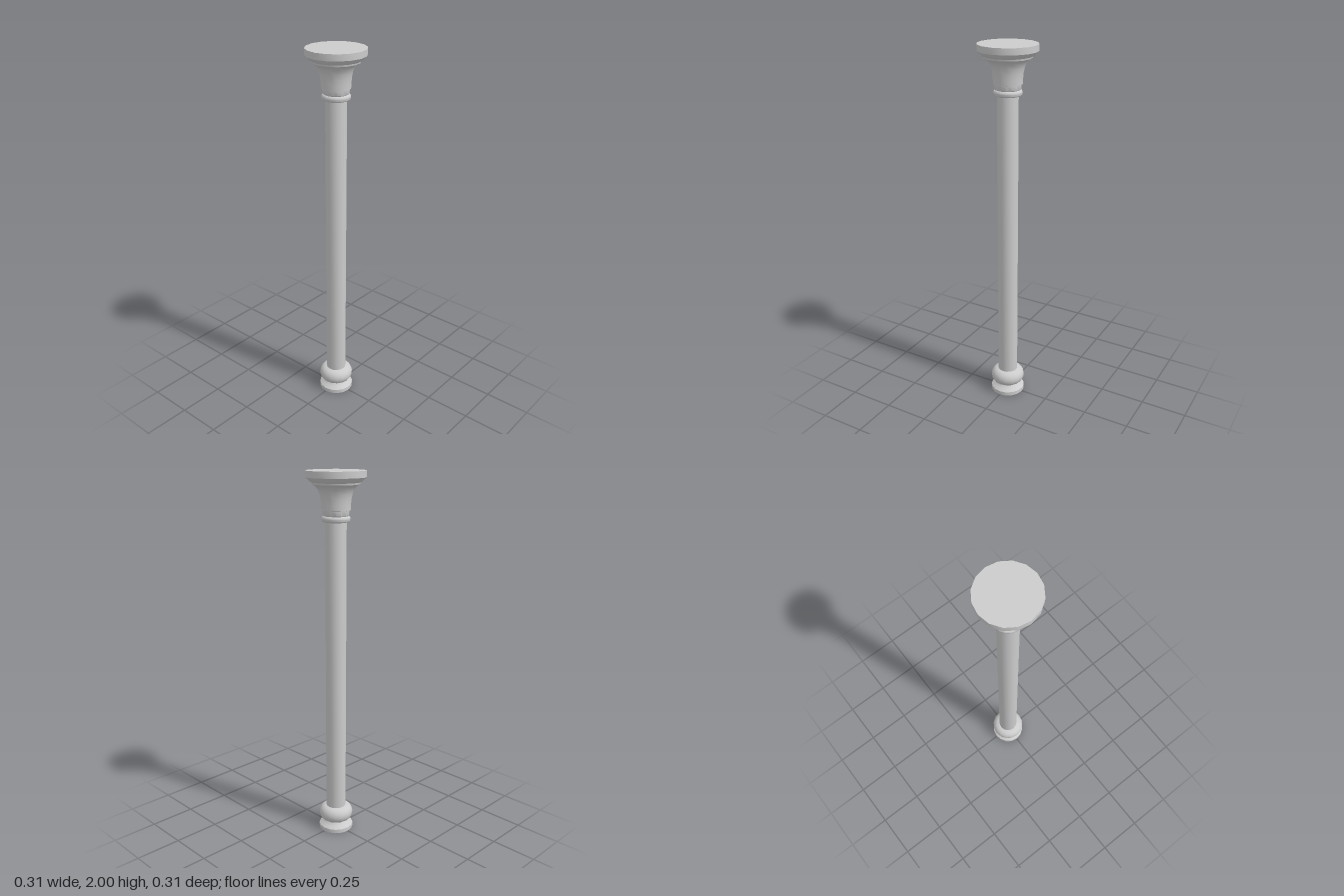
import * as THREE from 'three';
import { toCreasedNormals } from 'three/addons/utils/BufferGeometryUtils.js';

const SIDES = 16;
const material = new THREE.MeshStandardMaterial({ color: 0xcccccc });

// Revolve a [radius, height] profile, listed from bottom to top.
function turned(name, profile) {
  const points = profile.map(([r, y]) => new THREE.Vector2(r, y));
  const geometry = toCreasedNormals(new THREE.LatheGeometry(points, SIDES), 0.75);
  const mesh = new THREE.Mesh(geometry, material);
  mesh.name = name;
  return mesh;
}

// Convex moulding: half an ellipse bulging outwards from an inner radius.
function bulge(inner, depth, y0, y1, steps) {
  return Array.from({ length: steps + 1 }, (_, i) => {
    const a = (i / steps - 0.5) * Math.PI;
    return [inner + depth * Math.cos(a), (y0 + y1) / 2 + Math.sin(a) * (y1 - y0) / 2];
  });
}

export function createModel() {
  const column = new THREE.Group();
  column.name = 'column';

  // Foot: flat disc, sloping neck and round cushion
  column.add(turned('plinth', [
    [0, 0], [0.095, 0], [0.095, 0.022], [0.078, 0.034], [0.064, 0.046], [0.06, 0.054],
  ]));
  column.add(turned('baseCushion', bulge(0.055, 0.04, 0.05, 0.138, 8)));

  // Plain shaft
  column.add(turned('shaft', [[0.055, 0.13], [0.055, 1.755]]));

  // Collar: small ring with a narrow neck above
  column.add(turned('collarRing', [
    [0.054, 1.744], ...bulge(0.064, 0.011, 1.745, 1.775, 6), [0.068, 1.78], [0.069, 1.806],
  ]));

  // Capital: flaring bell, stepped moulding and top slab
  column.add(turned('capitalBell', [
    [0.066, 1.802], [0.075, 1.804], [0.076, 1.83], [0.079, 1.86], [0.084, 1.885],
    [0.092, 1.905], [0.104, 1.921], [0.118, 1.93], [0.123, 1.933], [0.125, 1.942],
  ]));
  column.add(turned('abacus', [
    [0.122, 1.941], [0.13, 1.943], [0.138, 1.952], [0.148, 1.96], [0.155, 1.967],
    [0.155, 2], [0, 2],
  ]));

  return column;
}
